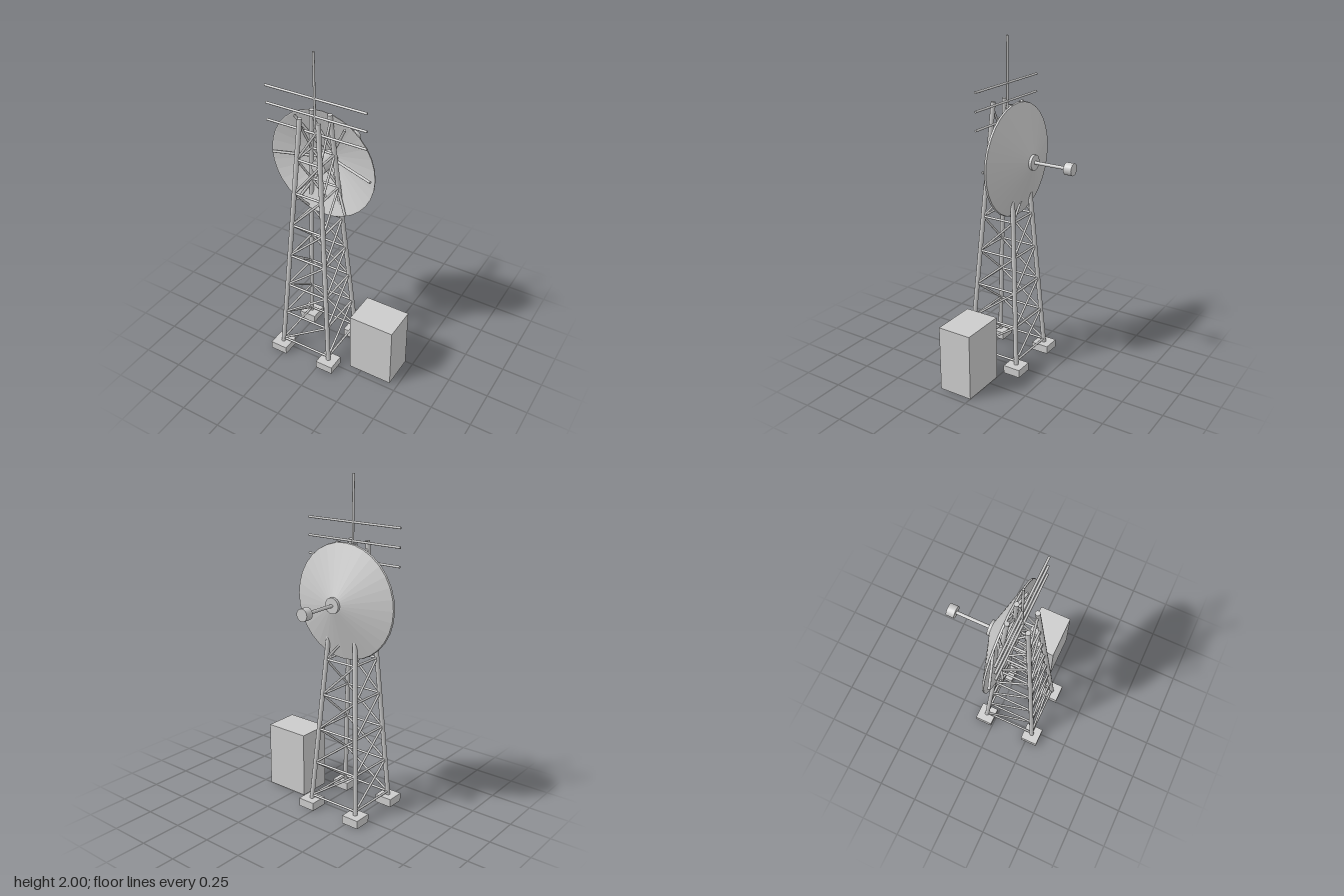
import * as THREE from 'three';

const material = new THREE.MeshStandardMaterial({ color: 0xcccccc });
const flatMaterial = new THREE.MeshStandardMaterial({ color: 0xcccccc, flatShading: true, side: THREE.DoubleSide });
const CX = -0.115, CZ = 0.105; // tower axis
const LEG_BASE = 0.04, LEG_TOP = 1.63;

function add(parent, name, geometry, x = 0, y = 0, z = 0, mat = material) {
  const mesh = new THREE.Mesh(geometry, mat);
  mesh.name = name;
  mesh.position.set(x, y, z);
  parent.add(mesh);
  return mesh;
}

// Round bar between two points
function bar(parent, name, a, b, radius, sides = 8) {
  const dir = b.clone().sub(a);
  const mid = a.clone().add(b).multiplyScalar(0.5);
  const mesh = add(parent, name, new THREE.CylinderGeometry(radius, radius, dir.length(), sides), mid.x, mid.y, mid.z);
  mesh.quaternion.setFromUnitVectors(new THREE.Vector3(0, 1, 0), dir.normalize());
  return mesh;
}

const v = (x, y, z) => new THREE.Vector3(x, y, z);

// Corners run front left, front right, back right, back left as seen from the front
const corners = [[-1, 1], [1, 1], [1, -1], [-1, -1]];
function legPoint(i, y) {
  const half = THREE.MathUtils.mapLinear(y, LEG_BASE, LEG_TOP, 0.167, 0.058);
  const [sx, sz] = corners[i % 4];
  return v(CX + sx * half, y, CZ + sz * half);
}

function createTower() {
  const tower = new THREE.Group();
  tower.name = 'latticeTower';
  const levels = 7, y0 = 0.07, step = 0.218;
  for (let i = 0; i < 4; i++) {
    const foot = legPoint(i, LEG_BASE);
    add(tower, 'footing', new THREE.BoxGeometry(0.11, 0.05, 0.11), foot.x, 0.025, foot.z);
    bar(tower, 'leg', foot, legPoint(i, LEG_TOP), 0.014, 12);
    // One ring bar and one rising diagonal per face and level
    for (let k = 0; k < levels; k++) {
      const y = y0 + k * step;
      bar(tower, 'ringBar', legPoint(i, y), legPoint(i + 1, y), 0.007);
      bar(tower, 'diagonalBrace', legPoint(i, y), legPoint(i + 1, y + step), 0.007);
    }
  }
  return tower;
}

// Dish is built around its own axis, which lies along z
function createDish() {
  const dish = new THREE.Group();
  dish.name = 'dish';
  dish.position.set(CX, 1.295, 0);

  const profile = [[0.03, -0.067], [0.05, -0.066], [0.335, 0.03], [0.338, 0.041], [0.332, 0.041], [0.05, -0.054], [0.03, -0.055]]
    .map(([r, z]) => new THREE.Vector2(r, z));
  add(dish, 'reflector', new THREE.LatheGeometry(profile, 32).rotateX(Math.PI / 2), 0, 0, 0, flatMaterial);

  const axial = (name, radius, zA, zB, sides) =>
    add(dish, name, new THREE.CylinderGeometry(radius, radius, zB - zA, sides).rotateX(Math.PI / 2), 0, 0, (zA + zB) / 2);
  axial('hub', 0.046, -0.083, 0.085, 20);
  axial('feedArm', 0.01, -0.29, -0.08, 12);
  axial('feedHorn', 0.036, -0.333, -0.285, 20);

  // Six ribs following the slope of the reflector
  for (let i = 0; i < 6; i++) {
    const a = (i * Math.PI) / 3, c = Math.cos(a), s = Math.sin(a);
    bar(dish, 'rib', v(0.04 * c, 0.04 * s, -0.034), v(0.32 * c, 0.32 * s, 0.063), 0.008);
  }
  return dish;
}

function createAntenna() {
  const antenna = new THREE.Group();
  antenna.name = 'antenna';
  bar(antenna, 'mast', v(CX, 1.56, CZ), v(CX, 2, CZ), 0.007, 10);
  for (const y of [1.525, 1.63, 1.735]) {
    bar(antenna, 'crossRod', v(CX - 0.318, y, CZ), v(CX + 0.318, y, CZ), 0.007);
  }
  return antenna;
}

export function createModel() {
  const model = new THREE.Group();
  model.name = 'radioTower';
  model.add(createTower(), createDish(), createAntenna());
  // Equipment cabinet beside the tower
  add(model, 'cabinet', new THREE.BoxGeometry(0.28, 0.405, 0.21), 0.31, 0.2025, 0.105);
  return model;
}
